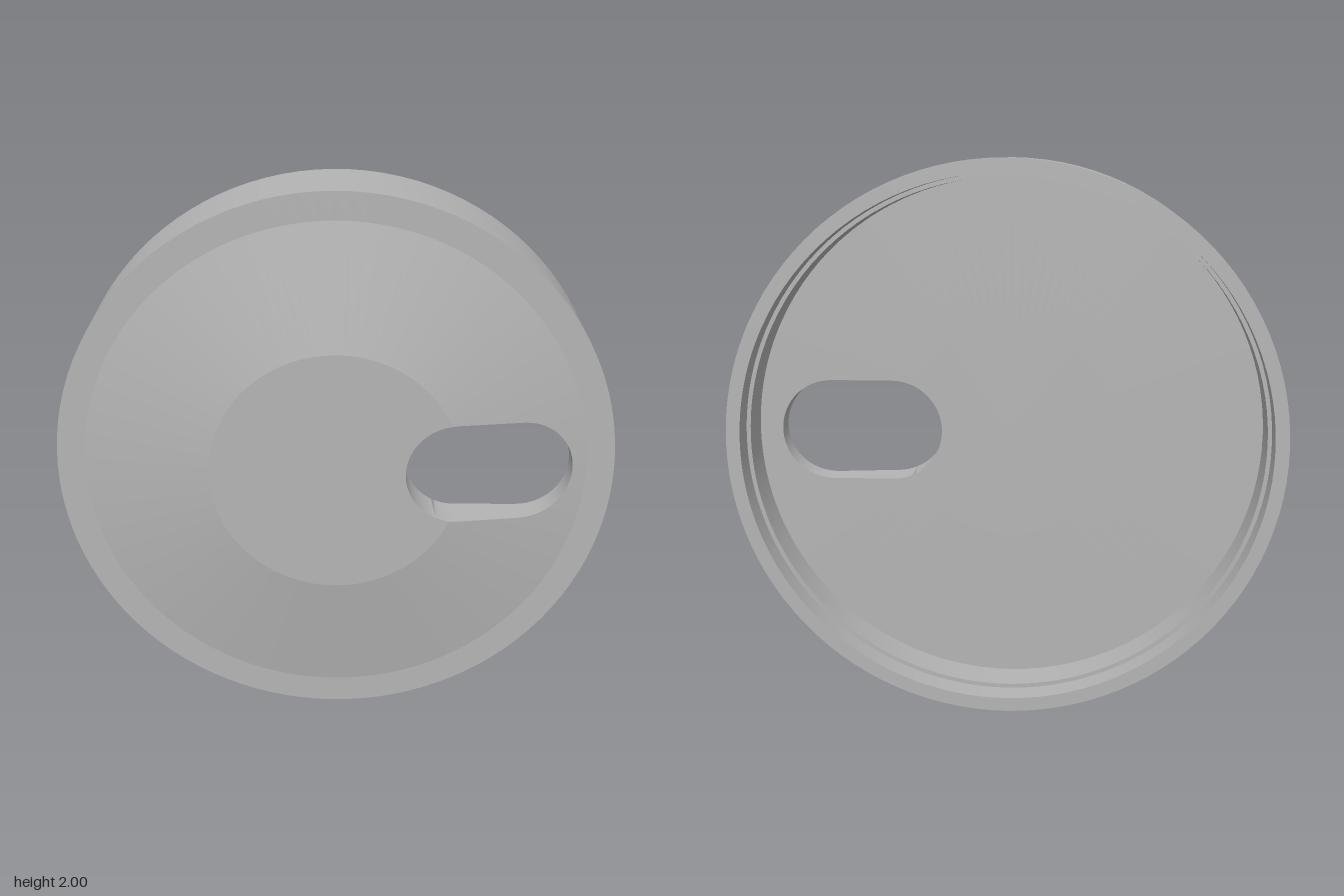
import * as THREE from 'three';
import { mergeVertices } from 'three/addons/utils/BufferGeometryUtils.js';

// Main sizes (worked out around the z axis, lifted to stand on y = 0 at the end)
const FRONT = 0.2, SHOULDER = 0.13, FLOOR = 0.05, STEP = -0.1, BACK = -0.2;
const R_FLAT = 0.45, R_CONE = 0.9, R_OUT = 1, R_LIP = 0.95, R_IN = 0.935;
const SLOT_R = 0.187, SLOT_A = 0.437, SLOT_B = 0.663;

// Angles round the disc: fine across the slot, regular elsewhere
const tangent = Math.asin(SLOT_R / SLOT_A);
const angles = [Math.atan2(SLOT_R, SLOT_A), Math.atan2(SLOT_R, SLOT_B)].flatMap(t => [t, -t]);
for (let i = 0; i <= 64; i++) angles.push(tangent * Math.sin((i / 64 - 0.5) * Math.PI));
for (let i = 1; i <= 90; i++) angles.push(tangent + (2 * Math.PI - 2 * tangent) * i / 90);
angles.sort((a, b) => a - b);

// Radii at which a ray from the centre enters and leaves the slot
const half = (t, c) => Math.sqrt(Math.max(0, SLOT_R ** 2 - (c * Math.sin(t)) ** 2));
const touch = SLOT_A * Math.cos(tangent);
const inSlot = t => Math.abs(t) < tangent - 1e-6;
const enter = t => inSlot(t) ? SLOT_A * Math.cos(t) - half(t, SLOT_A) : touch;
function leave(t) {
  if (!inSlot(t)) return touch;
  const x = SLOT_R / Math.max(1e-6, Math.tan(Math.abs(t)));
  if (x < SLOT_A) return SLOT_A * Math.cos(t) + half(t, SLOT_A);
  if (x < SLOT_B) return SLOT_R / Math.sin(Math.abs(t));
  return SLOT_B * Math.cos(t) + half(t, SLOT_B);
}

// Height of the front surface at radius r
const frontZ = r => r <= R_FLAT ? FRONT
  : FRONT + (SHOULDER - FRONT) * (r - R_FLAT) / (R_CONE - R_FLAT);

// Surface swept round the axis between two edges, each giving [radius, z] at an angle
function sweep(...pairs) {
  const pos = [];
  const a = new THREE.Vector3(), b = new THREE.Vector3();
  const point = (edge, t) => {
    const [r, z] = edge(t);
    return new THREE.Vector3(r * Math.cos(t), r * Math.sin(t), z);
  };
  const tri = (p, q, s) => {
    if (a.subVectors(q, p).cross(b.subVectors(s, p)).length() < 1e-8) return;
    for (const v of [p, q, s]) pos.push(v.x, v.y, v.z);
  };
  for (const [e, f] of pairs) {
    for (let i = 0; i < angles.length - 1; i++) {
      const [t, u] = [angles[i], angles[i + 1]];
      const p = point(e, t), q = point(f, t), r = point(f, u), s = point(e, u);
      tri(p, q, r);
      tri(p, r, s);
    }
  }
  const g = new THREE.BufferGeometry();
  g.setAttribute('position', new THREE.Float32BufferAttribute(pos, 3));
  const merged = mergeVertices(g, 1e-5);
  merged.computeVertexNormals();
  return merged;
}

const ring = (r, z) => () => [r, z];

export function createModel() {
  const group = new THREE.Group();
  group.name = 'slottedCap';
  const grey = new THREE.MeshStandardMaterial({ color: 0xb4b4b4 });
  grey.name = 'plain grey';
  const add = (name, ...pairs) => {
    const mesh = new THREE.Mesh(sweep(...pairs), grey);
    mesh.name = name;
    mesh.position.y = 1;
    group.add(mesh);
  };

  // Raised front: flat centre and shallow cone, both cut by the slot
  const flat = f => t => [Math.min(f(t), R_FLAT), FRONT];
  const cone = f => t => { const r = Math.max(f(t), R_FLAT); return [r, frontZ(r)]; };
  add('frontCentre', [ring(0, FRONT), flat(enter)], [flat(leave), ring(R_FLAT, FRONT)]);
  add('frontCone', [ring(R_FLAT, FRONT), cone(enter)], [cone(leave), ring(R_CONE, SHOULDER)]);
  add('frontBorder', [ring(R_CONE, SHOULDER), ring(R_OUT, SHOULDER)]);

  // Rim: outer wall, back edge, and stepped inner wall
  add('outerWall', [ring(R_OUT, SHOULDER), ring(R_OUT, BACK)]);
  add('backEdge', [ring(R_OUT, BACK), ring(R_LIP, BACK)]);
  add('lipWall', [ring(R_LIP, BACK), ring(R_LIP, STEP)]);
  add('innerStep', [ring(R_LIP, STEP), ring(R_IN, STEP)]);
  add('innerWall', [ring(R_IN, STEP), ring(R_IN, FLOOR)]);

  // Recessed back face and the walls of the slot
  const floor = f => t => [f(t), FLOOR];
  const front = f => t => [f(t), frontZ(f(t))];
  add('recessFloor', [ring(R_IN, FLOOR), floor(leave)], [floor(enter), ring(0, FLOOR)]);
  add('slotWall', [front(enter), floor(enter)], [floor(leave), front(leave)]);
  return group;
}
